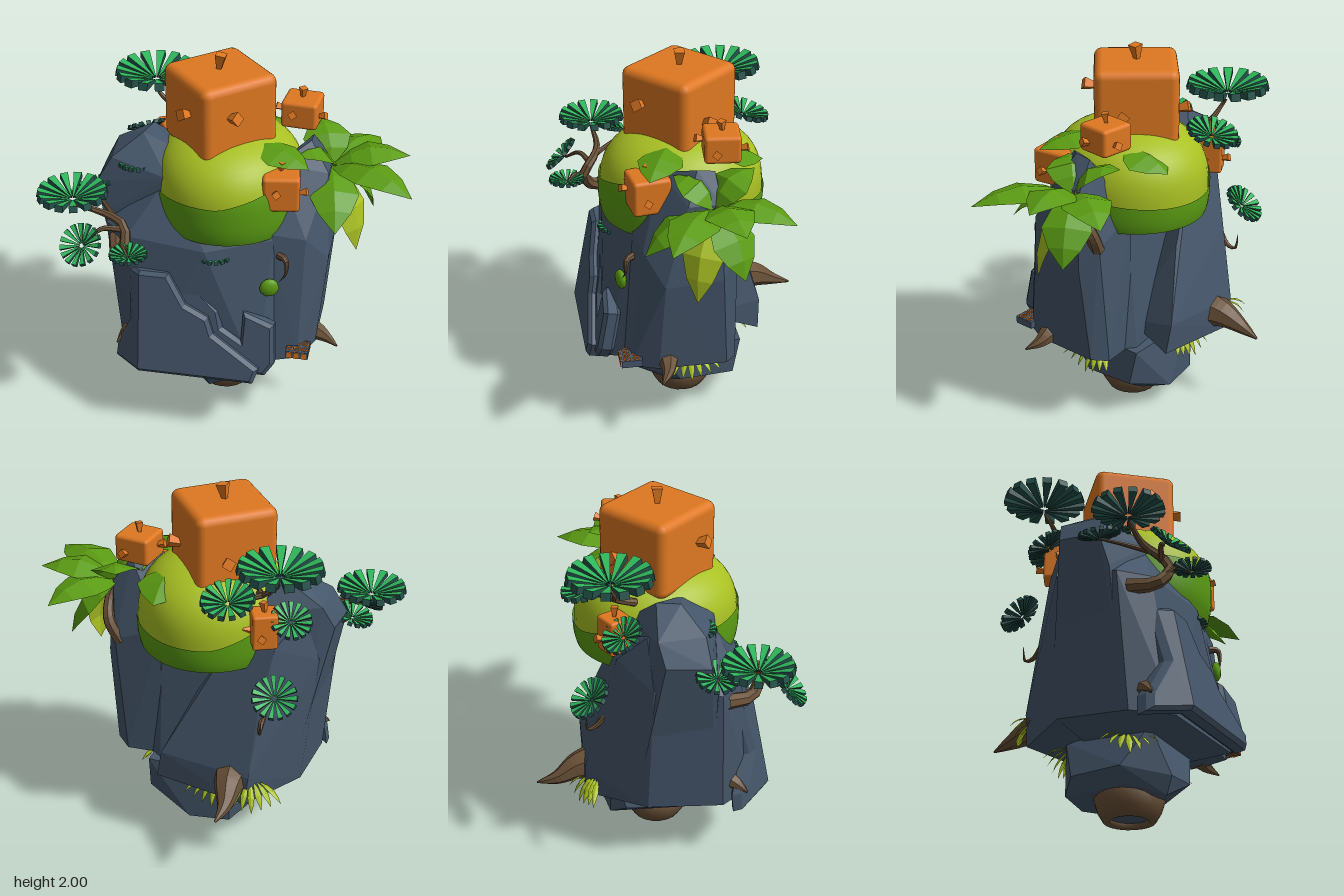
import * as THREE from 'three';
import { RoundedBoxGeometry } from 'three/addons/geometries/RoundedBoxGeometry.js';
import { ConvexGeometry } from 'three/addons/geometries/ConvexGeometry.js';
import { ParametricGeometry } from 'three/addons/geometries/ParametricGeometry.js';

const mat = (name, color, side = THREE.FrontSide) => {
  const m = new THREE.MeshStandardMaterial({ color, side });
  m.name = name;
  return m;
};
const V = (a) => new THREE.Vector3(...a);

export function createModel() {
  const model = new THREE.Group();
  model.name = 'floatingRockIsland';
  const rock = mat('slate', 0x45566a), orange = mat('orange', 0xdf7821);
  const moss = mat('limeMoss', 0xa9c123, THREE.DoubleSide);
  const green = mat('leafGreen', 0x5b9c13, THREE.DoubleSide);
  const brown = mat('bark', 0x6a5138), needle = mat('needleGreen', 0x2fb65b);
  const teal = mat('needleShade', 0x24504a);

  const add = (name, geo, material, parent = model) => {
    const m = new THREE.Mesh(geo, material);
    m.name = name;
    parent.add(m);
    return m;
  };
  const hull = (name, pts) => add(name, new ConvexGeometry(pts.map(V)), rock);

  // Rock chunks
  hull('mainRock', [
    [-.57, .37, .28], [-.42, .36, .46], [.2, .37, .46], [.32, .42, .32], [.4, .44, -.12], [.2, .42, -.24], [-.57, .4, -.12],
    [-.64, 1.1, .25], [-.5, 1.1, .37], [-.08, 1.08, .42], [.26, 1.12, .3], [.42, 1.1, -.05], [.2, 1.1, -.18], [-.64, 1.15, -.1],
    [-.3, 1.4, .22], [.25, 1.4, .15], [.15, 1.4, -.15], [-.35, 1.4, -.15]]);
  hull('backRock', [
    [.15, .42, -.4], [-.36, .38, -.43], [-.57, .4, -.12], [.12, .58, -.41], [-.38, .55, -.43], [-.05, .95, -.3], [-.4, .95, -.34],
    [-.64, 1.15, -.1], [-.22, 1.25, -.24], [-.45, 1.25, -.26], [-.55, 1.42, -.12], [-.4, 1.4, 0], [-.3, .6, .1], [.1, .5, -.1]]);
  hull('leftPeak', [
    [-.58, .7, .22], [-.58, .7, -.14], [-.66, 1.13, .22], [-.7, 1.3, .18], [-.7, 1.32, -.05], [-.64, 1.44, -.08], [-.62, 1.44, .16],
    [-.47, 1.55, .06], [-.44, 1.55, -.06], [-.3, 1.5, .1], [-.3, 1.4, .26], [-.3, 1.4, -.18], [-.35, .8, -.25], [-.3, .8, .33]]);
  hull('rightRidge', [
    [.24, .4, .37], [.4, .42, .34], [.48, .44, .2], [.48, .44, -.16], [.4, .42, -.22], [.2, .42, -.2],
    [.53, .96, .17], [.53, .98, -.13], [.42, 1.12, .27], [.46, 1.1, -.21], [.5, 1.4, .05], [.5, 1.4, -.12],
    [.4, 1.55, -.01], [.4, 1.54, -.1], [.25, 1.48, .15], [.2, 1.2, -.2], [.25, 1.15, .3]]);
  hull('lowerRock', [
    [-.24, .42, .22], [.25, .42, .2], [.25, .42, -.28], [-.22, .42, -.28], [-.33, .2, .1], [-.3, .2, -.2],
    [-.12, .18, .28], [.1, .2, .27], [.26, .2, .05], [.26, .22, -.24], [0, .12, -.31], [-.22, .13, -.28],
    [-.1, .09, .24], [-.24, .13, .1], [.14, .12, .08], [.1, .11, -.2]]);

  // Stepped slabs leaning on the front, their left ends swept back
  const slab = (name, pts, z) => {
    const s = new THREE.Shape(pts.map(([x, y]) => new THREE.Vector2(x, y - .36)));
    const geo = new THREE.ExtrudeGeometry(s, { depth: .05, bevelEnabled: true, bevelSize: .02, bevelThickness: .02, bevelSegments: 1 });
    const p = geo.attributes.position;
    for (let i = 0; i < p.count; i++) p.setZ(i, p.getZ(i) - Math.max(0, -.42 - p.getX(i)));
    geo.computeVertexNormals();
    const m = add(name, geo, rock);
    m.position.set(0, .37, z);
    m.rotation.x = -.19;
  };
  slab('frontSlab', [[-.56, .37], [-.42, .37], [.18, .37], [.2, .43], [-.04, .6], [-.07, .69], [-.19, .75], [-.28, .91], [-.42, .91], [-.48, .91], [-.46, .62], [-.55, .44]], .49);
  slab('sideSlab', [[-.3, .4], [.24, .4], [.28, .46], [.27, .66], [.14, .71], [.13, .54], [0, .62], [-.02, .72], [-.2, .9], [-.3, .85]], .45);

  // Root stump with a hollow foot
  const stump = [[.1, .03], [.1, 0], [.135, 0], [.165, .05], [.185, .115], [.16, .16], [0, .17]];
  add('stump', new THREE.LatheGeometry(stump.map(([x, y]) => new THREE.Vector2(x, y)), 20), brown).position.x = -.05;
  const foot = add('stumpHollow', new THREE.CircleGeometry(.105, 16), rock);
  foot.rotation.x = Math.PI / 2;
  foot.position.set(-.05, .025, 0);

  // Moss dome with a darker skirt that rises into spikes
  const domeAt = (t, y, grow, out) => {
    const s = Math.min(1, Math.abs(y - 1.27) / .335);
    const r = .43 * grow * Math.pow(1 - Math.pow(s, 2.6), 1 / 2.6);
    out.set(-.025 + r * .92 * Math.sin(t), y, r * Math.cos(t));
  };
  const spike = (t, from, to) => (t > from && t < to ? (t - from) / (to - from) : 0);
  const rim = (t) => 1.305 + .04 * Math.cos(t) + .1 * spike(t, .05, .95) + .08 * spike(t, 3.5, 4.3);
  add('mossDome', new ParametricGeometry((u, v, out) => {
    domeAt(u * Math.PI * 2, 1.2 + .405 * Math.sin(v * Math.PI / 2), 1, out);
  }, 40, 14), moss);
  add('mossSkirt', new ParametricGeometry((u, v, out) => {
    const t = u * Math.PI * 2;
    if (v === 0) out.set(-.025, 1.15, 0);
    else domeAt(t, 1.13 + (rim(t) - 1.13) * (v - .125) / .875, 1.02, out);
  }, 60, 8), green);

  // Orange blocks with flared pegs on every side
  const peg = (parent, pos, dir, s) => {
    const m = add('peg', new THREE.CylinderGeometry(.042 * s, .018 * s, .09 * s, 4).toNonIndexed(), orange, parent);
    m.geometry.computeVertexNormals();
    m.position.set(...pos);
    m.quaternion.setFromUnitVectors(new THREE.Vector3(0, 1, 0), V(dir).normalize());
  };
  const block = (name, pos, [w, h, d], turn, s) => {
    const g = new THREE.Group();
    g.name = name;
    g.position.set(...pos);
    g.rotation.y = turn;
    add('cube', new RoundedBoxGeometry(w, h, d, 2, w * .1), orange, g);
    peg(g, [0, h / 2 + .04 * s, 0], [.1, 1, .1], s);
    for (const k of [-1, 1]) {
      peg(g, [k * (w / 2 + .02 * s), h * -.08 * k, d * .15], [k, .3, .2], s);
      peg(g, [w * -.15 * k, h * .1 * k, k * (d / 2 + .02 * s)], [.2, .3, k], s);
    }
    model.add(g);
  };
  block('largeBlock', [-.075, 1.715, 0], [.435, .41, .435], .72, .9);
  block('upperSmallBlock', [.33, 1.655, -.145], [.19, .145, .185], -.1, .6);
  block('frontSmallBlock', [.28, 1.395, .22], [.19, .19, .2], .15, .6);
  block('backSmallBlock', [-.39, 1.37, -.26], [.13, .19, .13], .5, .6);

  // Folded leaves: cross-sections of left edge, midrib, right edge
  const leaf = (name, base, tip, half, material, arch = .08) => {
    const a = V(base), b = V(tip), dir = b.clone().sub(a).normalize();
    const side = dir.clone().cross(new THREE.Vector3(0, 1, 0)).normalize();
    const up = side.clone().cross(dir), pos = [], idx = [];
    const widths = [.1, .75, 1, .65, 0];
    widths.forEach((w, i) => {
      const t = i / 4, c = a.clone().lerp(b, t).addScaledVector(up, arch * Math.sin(Math.PI * t));
      for (const k of [-1, 0, 1]) {
        const p = c.clone().addScaledVector(side, k * w * half).addScaledVector(up, -Math.abs(k) * w * half * .3);
        pos.push(p.x, p.y, p.z);
      }
      if (i < 4) for (const k of [0, 1]) {
        const q = i * 3 + k;
        idx.push(q, q + 1, q + 3, q + 1, q + 4, q + 3);
      }
    });
    const g = new THREE.BufferGeometry();
    g.setAttribute('position', new THREE.Float32BufferAttribute(pos, 3));
    g.setIndex(idx);
    const flat = g.toNonIndexed();
    flat.computeVertexNormals();
    add(name, flat, material);
  };
  const crown = [.5, 1.38, -.08];
  for (const tip of [[.94, 1.38, .2], [.9, 1.43, -.16], [.72, 1.37, -.45], [.57, 1.18, .28], [.72, 1.08, -.2], [.4, 1.54, -.3], [.34, 1.5, .1]])
    leaf('palmLeaf', crown, tip, .13, green);
  leaf('palmYoungLeaf', crown, [.66, .94, .03], .11, moss);
  leaf('domeLeaf', [.12, 1.57, .08], [.42, 1.51, .23], .12, green, .03);
  leaf('domeLeaf', [.16, 1.55, -.13], [.15, 1.46, -.4], .14, green, .03);

  // Tapering tubes for horns, trunks and twigs
  const taper = (name, pts, r, end = .05) => {
    const c = new THREE.CatmullRomCurve3(pts.map(V)), n = 12, k = 7;
    const g = new THREE.TubeGeometry(c, n, r, k), p = g.attributes.position, v = new THREE.Vector3();
    for (let i = 0; i < p.count; i++) {
      const t = Math.floor(i / (k + 1)) / n, mid = c.getPointAt(t);
      v.fromBufferAttribute(p, i).sub(mid).multiplyScalar(1 - t * (1 - end)).add(mid);
      p.setXYZ(i, v.x, v.y, v.z);
    }
    const flat = g.toNonIndexed();
    flat.computeVertexNormals();
    add(name, flat, brown);
  };
  taper('backHorn', [[-.27, .51, -.38], [-.28, .5, -.46], [-.3, .45, -.57], [-.29, .42, -.68]], .1);
  taper('rightHorn', [[.38, .48, .15], [.46, .48, .15], [.53, .45, .16], [.6, .42, .2]], .085);
  taper('leftHorn', [[-.47, .48, .3], [-.52, .48, .35], [-.57, .44, .41]], .075);
  taper('palmTrunk', [[.44, 1.08, -.18], [.5, 1.2, -.19], [.52, 1.3, -.13], [.5, 1.39, -.08]], .04, .5);
  taper('frontTwig', [[.29, 1.03, .3], [.33, 1.03, .34], [.33, .95, .35], [.3, .91, .36]], .022);
  taper('backTwig', [[-.42, .92, -.3], [-.42, .84, -.37], [-.43, .83, -.41], [-.44, .91, -.42]], .022);
  taper('sideTrunk', [[-.58, 1.03, .28], [-.54, 1.03, .42], [-.48, 1.13, .47], [-.5, 1.2, .42], [-.6, 1.23, .38], [-.77, 1.28, .39]], .042, .25);
  taper('sideBranch', [[-.5, 1.18, .43], [-.6, 1.2, .48], [-.68, 1.14, .55]], .018, .4);
  taper('sideBranch', [[-.52, 1.08, .46], [-.48, 1.13, .52], [-.44, 1.09, .57]], .016, .4);
  taper('sideBranch', [[-.54, 1.21, .4], [-.64, 1.24, .28], [-.72, 1.25, .2]], .016, .4);
  taper('backTrunk', [[-.33, 1.5, -.15], [-.38, 1.55, -.25], [-.46, 1.62, -.27], [-.47, 1.66, -.29]], .022, .4);
  taper('backBranch', [[-.38, 1.55, -.25], [-.28, 1.53, -.33], [-.24, 1.53, -.36]], .016, .4);

  // Needle fans: rings of upturned wedges, bright on top
  const wedge = new THREE.BoxGeometry(1, 1, 1).translate(.5, 0, 0);
  const wp = wedge.attributes.position;
  for (let i = 0; i < wp.count; i++) if (wp.getX(i) < .5) wp.setXYZ(i, .12, wp.getY(i) * .4, wp.getZ(i) * .15);
  const skins = [teal, teal, needle, teal, teal, teal];
  const fan = (pos, r, tx = 0, tz = 0) => {
    const g = new THREE.Group(), n = 15;
    g.name = 'needleFan';
    g.position.set(...pos);
    g.rotation.set(tx, 0, tz);
    for (let i = 0; i < n; i++) {
      const m = add('needle', wedge, skins, g);
      m.scale.set(r, .19 * r, r * .23);
      m.rotation.set(0, i * Math.PI * 2 / n, .27, 'YXZ');
    }
    model.add(g);
  };
  fan([-.48, 1.68, -.29], .22);
  fan([-.24, 1.53, -.37], .14, -.3);
  fan([-.52, 1.41, -.23], .11, -.5, .3);
  fan([-.5, 1.05, -.39], .12, -.7, .2);
  fan([-.77, 1.3, .39], .185);
  fan([-.68, 1.14, .56], .115, .8, .2);
  fan([-.44, 1.1, .57], .1);
  fan([-.72, 1.25, .2], .11, 0, .3);
  fan([-.04, 1.01, .36], .09);
  fan([-.49, 1.39, .14], .1);

  // Grass hanging under the rock edges
  const tuft = (x, y, z, nx, nz) => {
    for (let i = -3; i <= 3; i++) {
      const s = i * .035, drop = .14 - Math.abs(i) * .02;
      leaf('grassBlade', [x + nz * s * .5, y, z - nx * s * .5], [x + nz * s * 1.5 + nx * .09, y - drop, z - nx * s * 1.5 + nz * .09], .018, moss, .02);
    }
  };
  tuft(-.25, .39, .1, -.8, .6);
  tuft(.26, .38, 0, 1, 0);
  tuft(-.15, .4, -.28, 0, -1);
  tuft(-.38, .5, -.39, -.4, -.9);

  // Round moss patch on the front face
  const patch = add('mossPatch', new THREE.SphereGeometry(.052, 9, 6), green);
  patch.position.set(.25, .87, .365);
  patch.rotation.y = .3;
  patch.scale.z = .5;

  // Small tray with orange rings
  const tray = add('tray', new THREE.BoxGeometry(.12, .04, .11), rock);
  tray.position.set(.405, .475, .34);
  for (let i = 0; i < 3; i++) for (let j = 0; j < 2; j++) for (const y of [.455, .498]) {
    const ring = add('trayRing', new THREE.TorusGeometry(.015, .005, 4, 8), orange);
    ring.rotation.x = Math.PI / 2;
    ring.position.set(.365 + i * .04, y, .315 + j * .05);
  }
  for (let i = 0; i < 3; i++) add('trayStud', new THREE.BoxGeometry(.025, .035, .008), orange).position.set(.365 + i * .04, .475, .397);
  return model;
}
